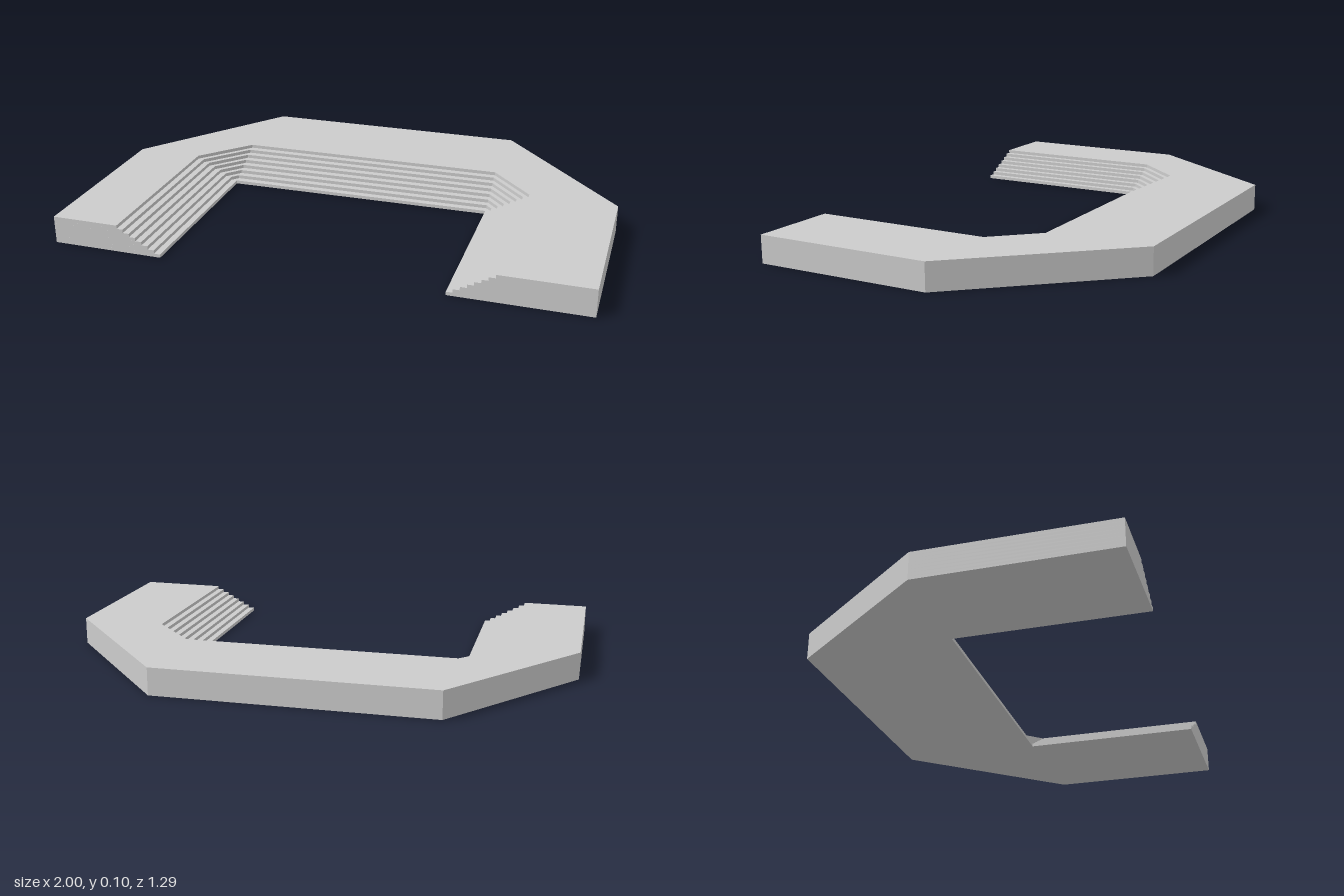
import * as THREE from 'three';

const LAYERS = 8, HEIGHT = 0.105, STEP = HEIGHT / LAYERS;
const LEFT = 0.49, RIGHT = -0.57, CORNER_Z = -0.08; // inner corners of the lowest step
const SPREAD_X = 0.17, SPREAD_Z = 0.185;            // total run of the steps

// U-shaped plan with chamfered corners; t = 0 is the lowest layer, 1 the top
function layerShape(t) {
  const dx = SPREAD_X * t, dz = SPREAD_Z * t;
  const outer = [[-1, 0.637], [-1, -0.08], [RIGHT, -0.645], [LEFT, -0.645], [1, -0.068], [1, 0.62]];
  const leftEnd = [LEFT + dx, 0.614 + 0.002 * t];
  const rightEnd = [RIGHT - dx, 0.643 - 0.003 * t];
  const inner = t === 0
    ? [[LEFT, CORNER_Z], [RIGHT, CORNER_Z]]
    : [[LEFT + dx, CORNER_Z], [LEFT, CORNER_Z - dz], [RIGHT, CORNER_Z - dz], [RIGHT - dx, CORNER_Z]];
  const points = [...outer, leftEnd, ...inner, rightEnd];
  return new THREE.Shape(points.map(([x, z]) => new THREE.Vector2(x, -z)));
}

export function createModel() {
  const group = new THREE.Group();
  group.name = 'steppedPlatform';
  const material = new THREE.MeshStandardMaterial({ color: 0xcccccc, flatShading: true });

  // Stacked slabs, each set back from the one below along the inner edge
  for (let i = 0; i < LAYERS; i++) {
    const geometry = new THREE.ExtrudeGeometry(layerShape(i / (LAYERS - 1)), { depth: STEP, bevelEnabled: false });
    geometry.rotateX(-Math.PI / 2);
    const slab = new THREE.Mesh(geometry, material);
    slab.name = i === LAYERS - 1 ? 'topDeck' : `step${i + 1}`;
    slab.position.y = i * STEP;
    group.add(slab);
  }
  return group;
}
